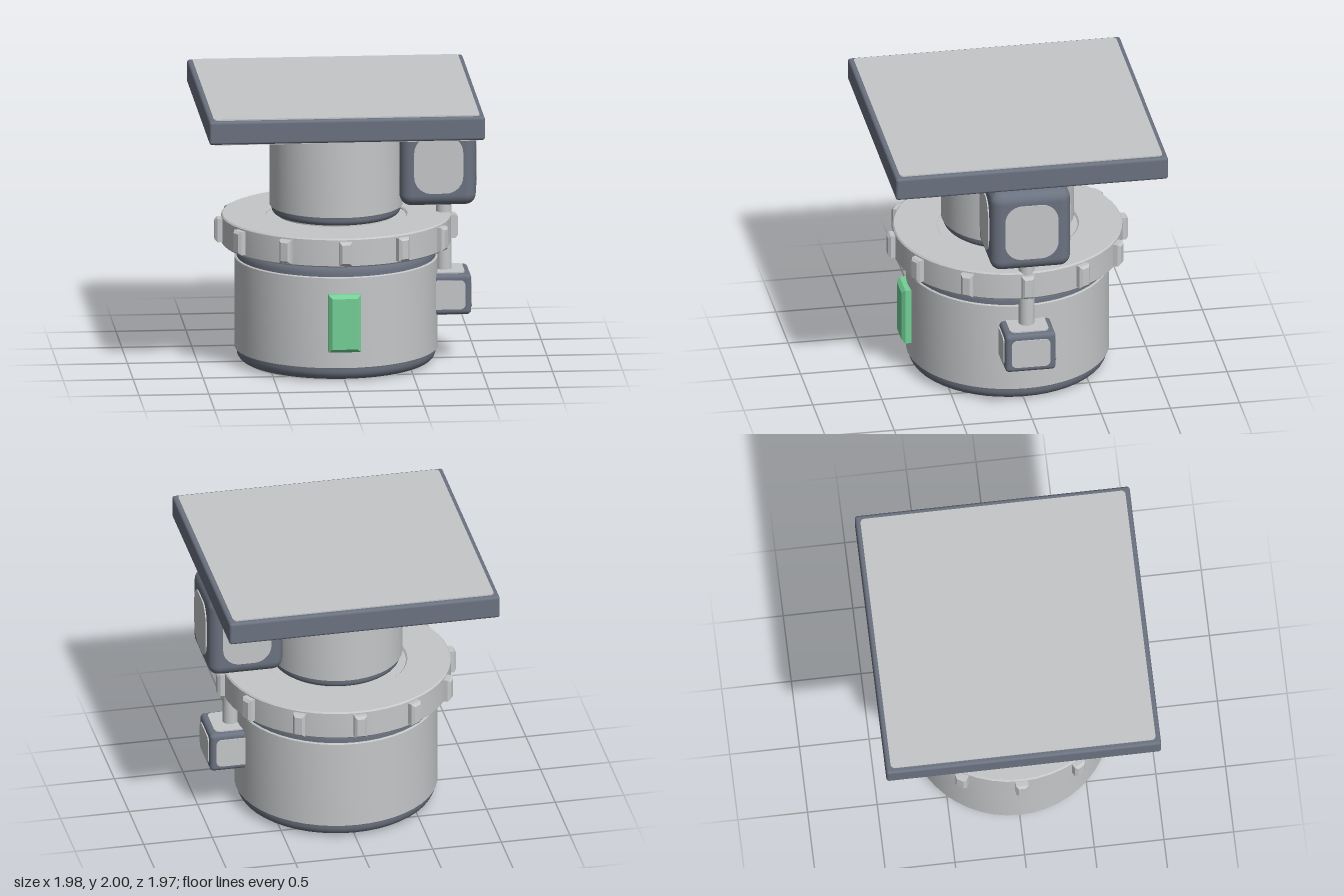
import * as THREE from 'three';
import { toCreasedNormals } from 'three/addons/utils/BufferGeometryUtils.js';
import { RoundedBoxGeometry } from 'three/addons/geometries/RoundedBoxGeometry.js';

const SEG = 48;
const CX = -0.008; // axis of the turned parts

function material(name, color) {
  const m = new THREE.MeshStandardMaterial({ color });
  m.name = name;
  return m;
}

export function createModel() {
  const light = material('light grey', 0xc4c6c8);
  const dark = material('slate grey', 0x6b7280);
  const green = material('green', 0x74d097);
  const model = new THREE.Group();
  model.name = 'device';

  function add(parent, name, geometry, mat, x = 0, y = 0, z = 0) {
    const mesh = new THREE.Mesh(geometry, mat);
    mesh.name = name;
    mesh.position.set(x, y, z);
    parent.add(mesh);
    return mesh;
  }

  function lathe(points) {
    const profile = points.map(([r, y]) => new THREE.Vector2(r, y));
    return toCreasedNormals(new THREE.LatheGeometry(profile, SEG), 0.45);
  }

  function roundedRect(w, h, r) {
    const s = new THREE.Shape();
    const x = w / 2, y = h / 2;
    s.moveTo(-x + r, -y);
    s.lineTo(x - r, -y);
    s.absarc(x - r, -y + r, r, -Math.PI / 2, 0);
    s.absarc(x - r, y - r, r, 0, Math.PI / 2);
    s.absarc(-x + r, y - r, r, Math.PI / 2, Math.PI);
    s.absarc(-x + r, -y + r, r, Math.PI, Math.PI * 1.5);
    return s;
  }

  // Block with chamfered edges, standing out along +z
  function chamferedBlock(w, h, d, c) {
    const s = new THREE.Shape();
    const x = w / 2 - c, y = h / 2 - c;
    s.moveTo(-x, -y); s.lineTo(x, -y); s.lineTo(x, y); s.lineTo(-x, y);
    const g = new THREE.ExtrudeGeometry(s, {
      depth: d - 2 * c, bevelThickness: c, bevelSize: c, bevelSegments: 1,
    });
    return g.translate(0, 0, c - d / 2);
  }

  // Rounded dark body with a thin light panel on each chosen face
  function panelledBox(name, [x, y, z], [w, h, d], radius, inset, corner, faces) {
    const box = new THREE.Group();
    box.name = name;
    box.position.set(x, y, z);
    model.add(box);
    add(box, name + 'Body', new RoundedBoxGeometry(w, h, d, 4, radius), dark);
    const q = Math.PI / 2;
    const placement = {
      front: [w, h, d, 0, 0], back: [w, h, d, 0, 2 * q],
      left: [d, h, w, 0, q], right: [d, h, w, 0, -q],
      top: [w, d, h, -q, 0], bottom: [w, d, h, q, 0],
    };
    for (const face of faces) {
      const [pw, ph, depth, rx, ry] = placement[face];
      const g = new THREE.ExtrudeGeometry(
        roundedRect(pw - 2 * inset, ph - 2 * inset, corner),
        { depth: 0.009, bevelEnabled: false, curveSegments: 8 });
      g.translate(0, 0, depth / 2);
      const panel = add(box, face + 'Panel', g, light);
      panel.rotation.set(rx, ry, 0);
    }
  }

  // Drum: dark rounded core, light sleeve around it and light end caps
  function drum(name, y0, y1, r, edge, capR) {
    const g = new THREE.Group();
    g.name = name;
    g.position.x = CX;
    model.add(g);
    const inner = r - 0.015, bend = inner - capR;
    const core = [[0, y0 + 0.01]];
    for (let i = 0; i <= 6; i++) {
      const a = (i / 6) * Math.PI / 2;
      core.push([capR + bend * Math.sin(a), y0 + 0.01 + bend * (1 - Math.cos(a))]);
    }
    for (let i = 6; i >= 0; i--) {
      const a = (i / 6) * Math.PI / 2;
      core.push([capR + bend * Math.sin(a), y1 - 0.01 - bend * (1 - Math.cos(a))]);
    }
    core.push([0, y1 - 0.01]);
    add(g, name + 'Core', lathe(core), dark);
    const h = y1 - y0 - 2 * edge;
    const mid = (y0 + y1) / 2;
    add(g, name + 'Sleeve', lathe([[inner - 0.01, mid - h / 2], [r - 0.006, mid - h / 2],
      [r, mid - h / 2 + 0.006], [r, mid + h / 2 - 0.006],
      [r - 0.006, mid + h / 2], [inner - 0.01, mid + h / 2]]), light);
    add(g, name + 'Caps', new THREE.CylinderGeometry(capR, capR, y1 - y0, SEG), light, 0, mid, 0);
  }

  drum('base', 0.005, 0.875, 0.725, 0.1, 0.64);
  drum('neck', 1.075, 1.815, 0.475, 0.07, 0.42);

  // Collar with grip teeth
  const collar = new THREE.Group();
  collar.name = 'collar';
  collar.position.set(CX, 0.975, 0);
  model.add(collar);
  add(collar, 'collarRing', lathe([[0.5, -0.105], [0.81, -0.105], [0.82, -0.095],
    [0.82, 0.095], [0.81, 0.105], [0.51, 0.105], [0.5, 0.095], [0.5, -0.105]]), light);
  add(collar, 'collarFloor', new THREE.CylinderGeometry(0.5, 0.5, 0.18, SEG), light);
  const tooth = chamferedBlock(0.09, 0.17, 0.08, 0.018);
  for (let i = 0; i < 12; i++) {
    const a = (i * Math.PI) / 6;
    const mesh = add(collar, 'collarTooth', tooth, light, 0.83 * Math.sin(a), 0, 0.83 * Math.cos(a));
    mesh.rotation.y = a;
  }

  // Square top plate with a thin guide strip underneath
  panelledBox('topPlate', [-0.008, 1.906, -0.004], [1.972, 0.17, 1.972], 0.02, 0.035, 0.03,
    ['top', 'bottom']);
  add(model, 'guideStrip', new THREE.BoxGeometry(0.016, 0.012, 1.34), green, 0.58, 1.808, 0);

  // Side housings joined by a stem
  const all = ['front', 'back', 'left', 'right', 'top', 'bottom'];
  panelledBox('upperHousing', [0.702, 1.485, 0], [0.545, 0.615, 0.58], 0.08, 0.097, 0.125, all);
  panelledBox('lowerHousing', [0.763, 0.505, 0], [0.365, 0.295, 0.365], 0.03, 0.042, 0.04, all);
  add(model, 'stem', new THREE.CylinderGeometry(0.056, 0.056, 0.53, 24), light, 0.763, 0.905, 0);

  // Front indicator
  add(model, 'indicator', chamferedBlock(0.23, 0.42, 0.1, 0.025), green, CX, 0.445, 0.735);

  return model;
}
